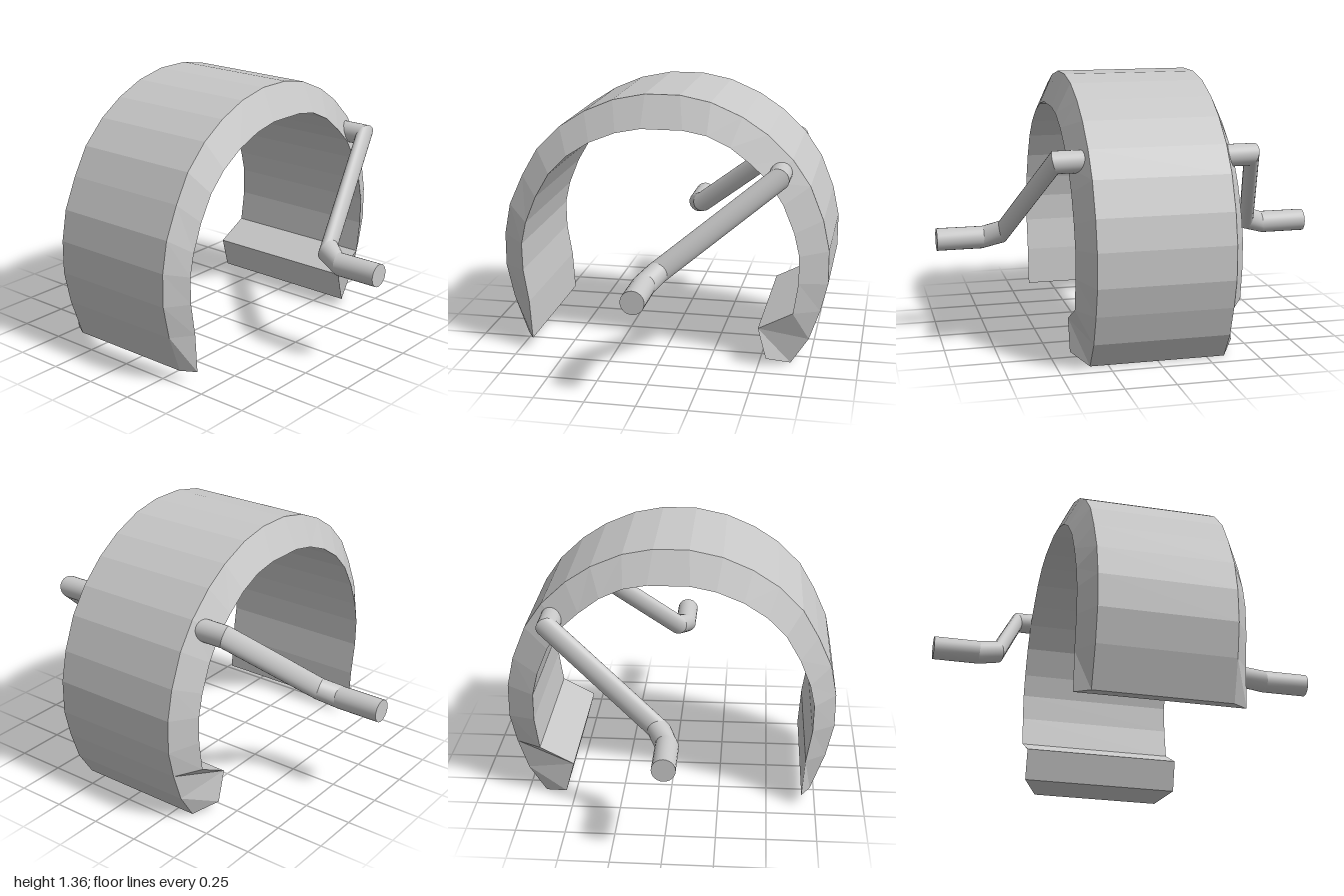
import * as THREE from 'three';

// Stations along the arch, front to back: [outer z, outer y, inner z, inner y]
const ARCH = [
  [0.725, 0.065, 0.68, 0.065], [0.797, 0.265, 0.694, 0.265],
  [0.835, 0.435, 0.722, 0.435], [0.835, 0.605, 0.725, 0.575],
  [0.805, 0.763, 0.70, 0.69], [0.734, 0.92, 0.645, 0.826],
  [0.653, 1.06, 0.573, 0.95], [0.532, 1.18, 0.479, 1.045],
  [0.403, 1.263, 0.362, 1.12], [0.255, 1.326, 0.228, 1.174],
  [0.092, 1.36, 0.1, 1.2], [-0.085, 1.36, -0.11, 1.2],
  [-0.237, 1.33, -0.23, 1.178], [-0.394, 1.263, -0.345, 1.125],
  [-0.52, 1.18, -0.45, 1.045], [-0.644, 1.063, -0.537, 0.965],
  [-0.734, 0.933, -0.61, 0.85], [-0.802, 0.763, -0.667, 0.71],
  [-0.835, 0.607, -0.694, 0.594], [-0.835, 0.435, -0.694, 0.455],
  [-0.8, 0.29, -0.67, 0.295], [-0.747, 0.138, -0.497, 0.205],
  [-0.658, 0.003, -0.54, 0.045],
];

// Bar rings, outside to inside: [x, y, z, radius, x slant]
const BAR = [
  [1, 0.515, 0.012, 0.058, 0], [0.765, 0.515, 0.012, 0.058, -0.1],
  [0.665, 0.55, -0.033, 0.056, 0.42], [0.488, 0.998, -0.59, 0.055, 0.42],
  [0.35, 0.998, -0.59, 0.055, 0],
];

// Skin between consecutive closed rings of [x, y, z]
function loft(rings) {
  const n = rings[0].length, index = [];
  for (let i = 0; i < rings.length - 1; i++) {
    for (let j = 0; j < n; j++) {
      const k = (j + 1) % n, a = i * n, b = a + n;
      index.push(a + j, b + j, b + k, a + j, b + k, a + k);
    }
  }
  return finish(rings.flat(2), index);
}

// Flat fan closing one ring
function cap(ring) {
  const index = [];
  for (let j = 1; j < ring.length - 1; j++) index.push(0, j, j + 1);
  return finish(ring.flat(), index);
}

function finish(points, index) {
  const g = new THREE.BufferGeometry();
  g.setAttribute('position', new THREE.Float32BufferAttribute(points, 3));
  g.setIndex(index);
  g.computeVertexNormals();
  return g;
}

function faceted(g) {
  const flat = g.toNonIndexed();
  flat.computeVertexNormals();
  return flat;
}

function barRing([x, y, z, r, slant], side) {
  const ring = [];
  for (let j = 0; j < 24; j++) {
    const t = (j / 24) * Math.PI * 2;
    const dy = Math.cos(t) * r, dz = Math.sin(t) * r;
    ring.push([side * (x + slant * (0.62 * dy - 0.78 * dz)), y + dy, z + dz]);
  }
  return side > 0 ? ring : ring.reverse();
}

export function createModel() {
  const model = new THREE.Group();
  model.name = 'archedBandWithBars';
  const grey = new THREE.MeshStandardMaterial({ color: 0xc8c8c8 });
  grey.name = 'light grey';
  const add = (parent, name, geometry) => {
    const mesh = new THREE.Mesh(geometry, grey);
    mesh.name = name;
    parent.add(mesh);
  };

  // Faceted arch with bevelled sides and a hooked rear end
  const band = new THREE.Group();
  band.name = 'archBand';
  const sections = ARCH.map(([oz, oy, iz, iy]) => [
    [0.34, oy, oz], [-0.34, oy, oz], [-0.415, iy, iz], [0.415, iy, iz],
  ]);
  add(band, 'archShell', faceted(loft(sections)));
  add(band, 'frontEnd', cap(sections[0]));
  add(band, 'rearEnd', cap([...sections[sections.length - 1]].reverse()));
  model.add(band);

  // Cranked bars, smooth along each straight run and sharp at the bends
  for (const side of [1, -1]) {
    const bar = new THREE.Group();
    bar.name = side > 0 ? 'leftBar' : 'rightBar';
    const rings = BAR.map((r) => barRing(r, side));
    const runs = ['outerGrip', 'elbow', 'arm', 'mount'];
    runs.forEach((name, i) => add(bar, name, loft([rings[i], rings[i + 1]])));
    add(bar, 'outerEnd', cap(rings[0]));
    add(bar, 'innerEnd', cap([...rings[rings.length - 1]].reverse()));
    model.add(bar);
  }
  return model;
}
